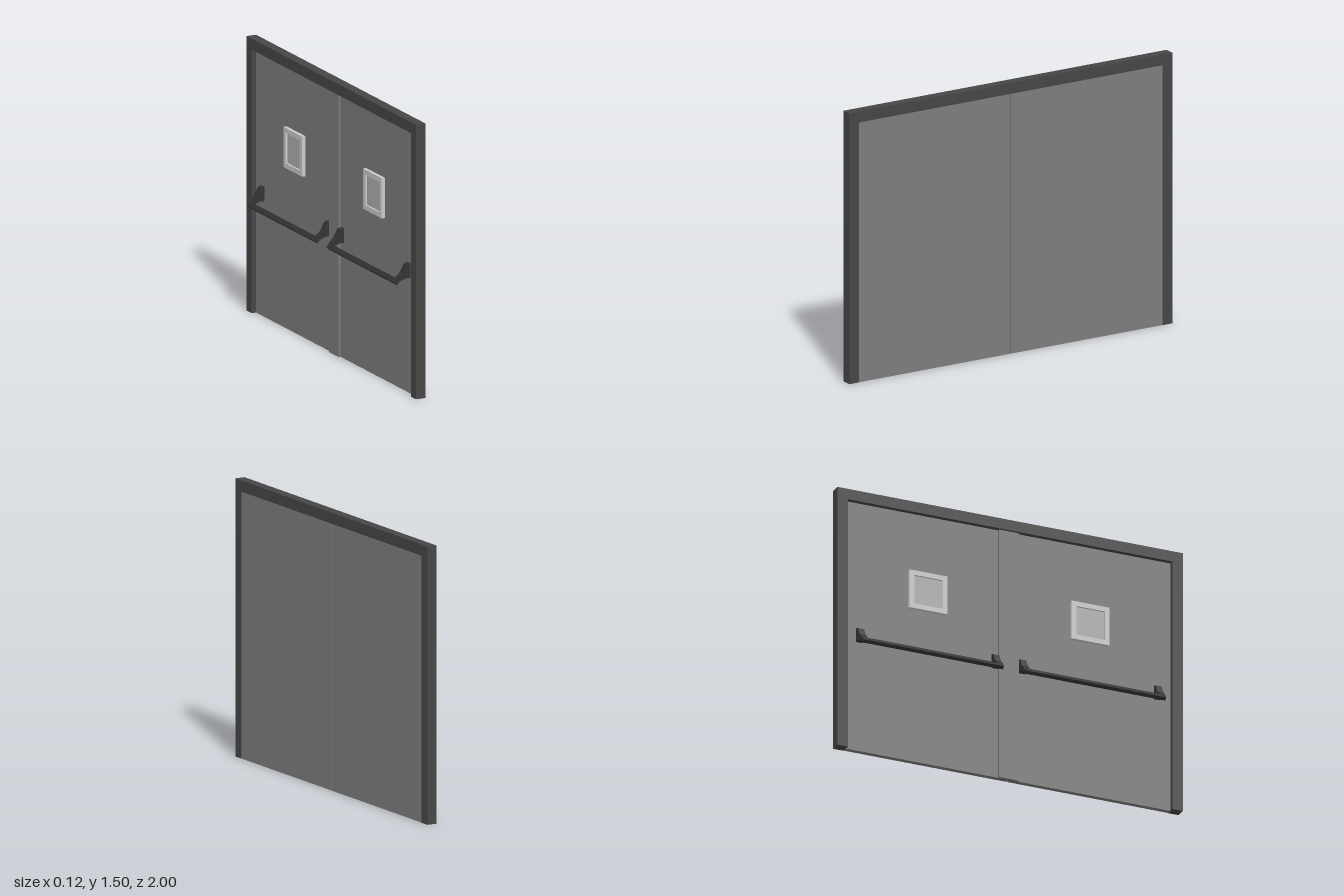
import * as THREE from 'three';

const mat = (color) => new THREE.MeshStandardMaterial({ color });
const darkSteel = mat(0x464646);
const doorPaint = mat(0x7d7d7d);
const black = mat(0x333333);
const trim = mat(0xcccccc);
const glass = mat(0xb0b0b0);

function add(parent, name, geometry, material) {
  const mesh = new THREE.Mesh(geometry, material);
  mesh.name = name;
  parent.add(mesh);
  return mesh;
}

// Box given by its limits on each axis
function box(x0, x1, y0, y1, z0, z1) {
  return new THREE.BoxGeometry(x1 - x0, y1 - y0, z1 - z0)
    .translate((x0 + x1) / 2, (y0 + y1) / 2, (z0 + z1) / 2);
}

// Outline in x and y, extruded from z0 to z1
function extrudeZ(points, z0, z1) {
  const shape = new THREE.Shape(points.map(([x, y]) => new THREE.Vector2(x, y)));
  return new THREE.ExtrudeGeometry(shape, { depth: z1 - z0, bevelEnabled: false }).translate(0, 0, z0);
}

// Outline in z and y (with an optional hole), extruded from x0 to x1
function extrudeX(points, hole, x0, x1) {
  const toVectors = (list) => list.map(([z, y]) => new THREE.Vector2(z, y));
  const shape = new THREE.Shape(toVectors(points));
  if (hole) shape.holes.push(new THREE.Path(toVectors(hole)));
  return new THREE.ExtrudeGeometry(shape, { depth: x1 - x0, bevelEnabled: false })
    .rotateY(-Math.PI / 2).translate(x1, 0, 0);
}

const rect = (w, h) => [[-w / 2, -h / 2], [w / 2, -h / 2], [w / 2, h / 2], [-w / 2, h / 2]];

export function createModel() {
  const model = new THREE.Group();
  model.name = 'doubleDoor';

  // Surrounding frame: two posts and a head
  add(model, 'doorFrame', extrudeX([
    [-1, 0], [-0.94, 0], [-0.94, 1.44], [0.94, 1.44],
    [0.94, 0], [1, 0], [1, 1.5], [-1, 1.5],
  ], null, 0, 0.057), darkSteel);

  // Strip covering the seam between the leaves
  add(model, 'seamStrip', box(0.015, 0.027, 0, 1.44, -0.058, 0.058), doorPaint);

  // Hooked arm and tilted bar of the push handle
  const armProfile = [
    [0.028, 0.712], [0.006, 0.704], [-0.004, 0.685], [-0.016, 0.66], [-0.042, 0.636],
    [-0.05, 0.62], [-0.042, 0.612], [-0.032, 0.62], [0, 0.632], [0.028, 0.632],
  ];
  const barProfile = [[-0.061, 0.611], [-0.048, 0.598], [-0.036, 0.618], [-0.045, 0.633]];

  for (const side of [-1, 1]) {
    const label = side > 0 ? 'front' : 'back';
    const span = (a, b) => (side > 0 ? [a, b] : [-b, -a]);

    add(model, label + 'Leaf', box(0.027, 0.055, 0, 1.44, ...span(0.003, 0.94)), doorPaint);

    // Small window on the handle side
    const windowGroup = new THREE.Group();
    windowGroup.name = label + 'Window';
    windowGroup.position.set(0, 0.995, side * 0.47);
    add(windowGroup, 'windowTrim', extrudeX(rect(0.22, 0.22), rect(0.165, 0.165), 0.008, 0.028), trim);
    add(windowGroup, 'windowPane', box(0.018, 0.028, -0.084, 0.084, -0.084, 0.084), glass);
    model.add(windowGroup);

    // Push bar
    const handle = new THREE.Group();
    handle.name = label + 'PushBar';
    add(handle, 'bar', extrudeZ(barProfile, ...span(0.064, 0.876)), black);
    add(handle, 'innerArm', extrudeZ(armProfile, ...span(0.06, 0.096)), black);
    add(handle, 'outerArm', extrudeZ(armProfile, ...span(0.844, 0.88)), black);
    model.add(handle);
  }
  return model;
}
